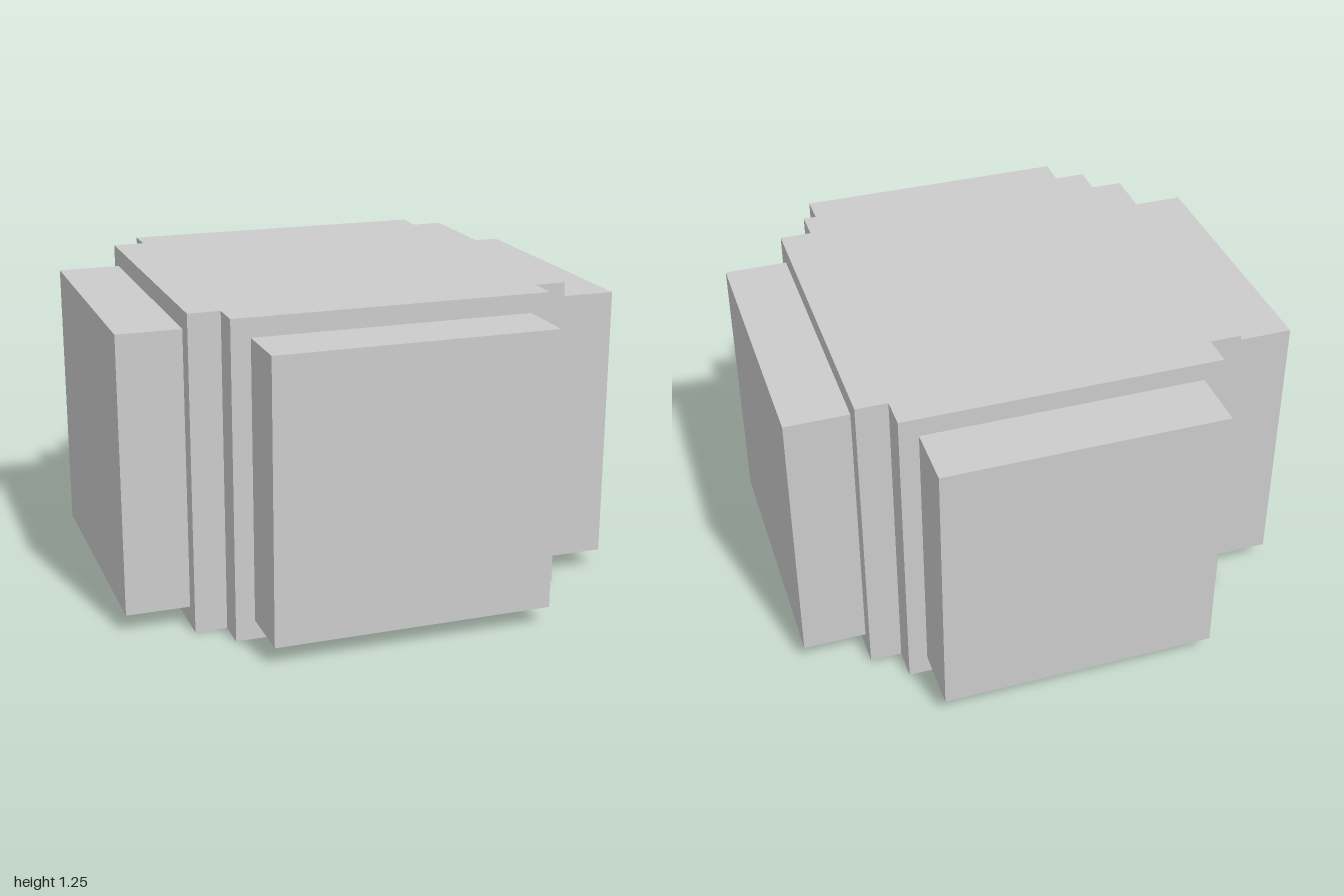
import * as THREE from 'three';

const OUTER = 0.75, INNER = 0.625, HEIGHT = 1.25, RECESS = 0.25;

export function createModel() {
  const model = new THREE.Group();
  model.name = 'notchedBlock';
  const material = new THREE.MeshStandardMaterial({ color: 0xcccccc, flatShading: true });
  const recessMaterial = material.clone();
  recessMaterial.side = THREE.DoubleSide;

  const add = (name, geometry, parent = model, mat = material) => {
    const mesh = new THREE.Mesh(geometry, mat);
    mesh.name = name;
    parent.add(mesh);
    return mesh;
  };

  // Square outline with a notch in each corner, counter-clockwise
  const outline = [];
  for (let i = 0; i < 4; i++) {
    const corner = [[OUTER, -INNER], [OUTER, INNER], [INNER, INNER]];
    for (const [x, y] of corner) {
      outline.push(new THREE.Vector2(x, y).rotateAround(new THREE.Vector2(), i * Math.PI / 2));
    }
  }

  const body = new THREE.Group();
  body.name = 'body';
  model.add(body);

  // Top face
  add('top', new THREE.ShapeGeometry(new THREE.Shape(outline)).rotateX(-Math.PI / 2).translate(0, HEIGHT, 0), body);

  // Upright walls following the outline
  const positions = [];
  outline.forEach((a, i) => {
    const b = outline[(i + 1) % outline.length];
    const a0 = [a.x, 0, -a.y], b0 = [b.x, 0, -b.y];
    const a1 = [a.x, HEIGHT, -a.y], b1 = [b.x, HEIGHT, -b.y];
    positions.push(...a0, ...b0, ...b1, ...a0, ...b1, ...a1);
  });
  const walls = new THREE.BufferGeometry();
  walls.setAttribute('position', new THREE.Float32BufferAttribute(positions, 3));
  walls.computeVertexNormals();
  add('walls', walls, body);

  // Flat rim underneath, open in the middle
  const rim = new THREE.Shape(outline);
  rim.holes.push(new THREE.Path([
    new THREE.Vector2(-INNER, -INNER), new THREE.Vector2(-INNER, INNER),
    new THREE.Vector2(INNER, INNER), new THREE.Vector2(INNER, -INNER),
  ]));
  add('bottomRim', new THREE.ShapeGeometry(rim).rotateX(Math.PI / 2), body);

  // Shallow pyramid hollow rising into the underside
  const hollow = new THREE.ConeGeometry(INNER * Math.SQRT2, RECESS, 4, 1, true);
  hollow.rotateY(Math.PI / 4).translate(0, RECESS / 2, 0);
  add('bottomRecess', hollow, body, recessMaterial);

  // One raised panel on each side
  ['frontPanel', 'leftPanel', 'backPanel', 'rightPanel'].forEach((name, i) => {
    const panel = new THREE.BoxGeometry(1.1, 1.1, 0.25).translate(0, HEIGHT / 2, 0.875);
    add(name, panel).rotation.y = i * Math.PI / 2;
  });

  return model;
}
